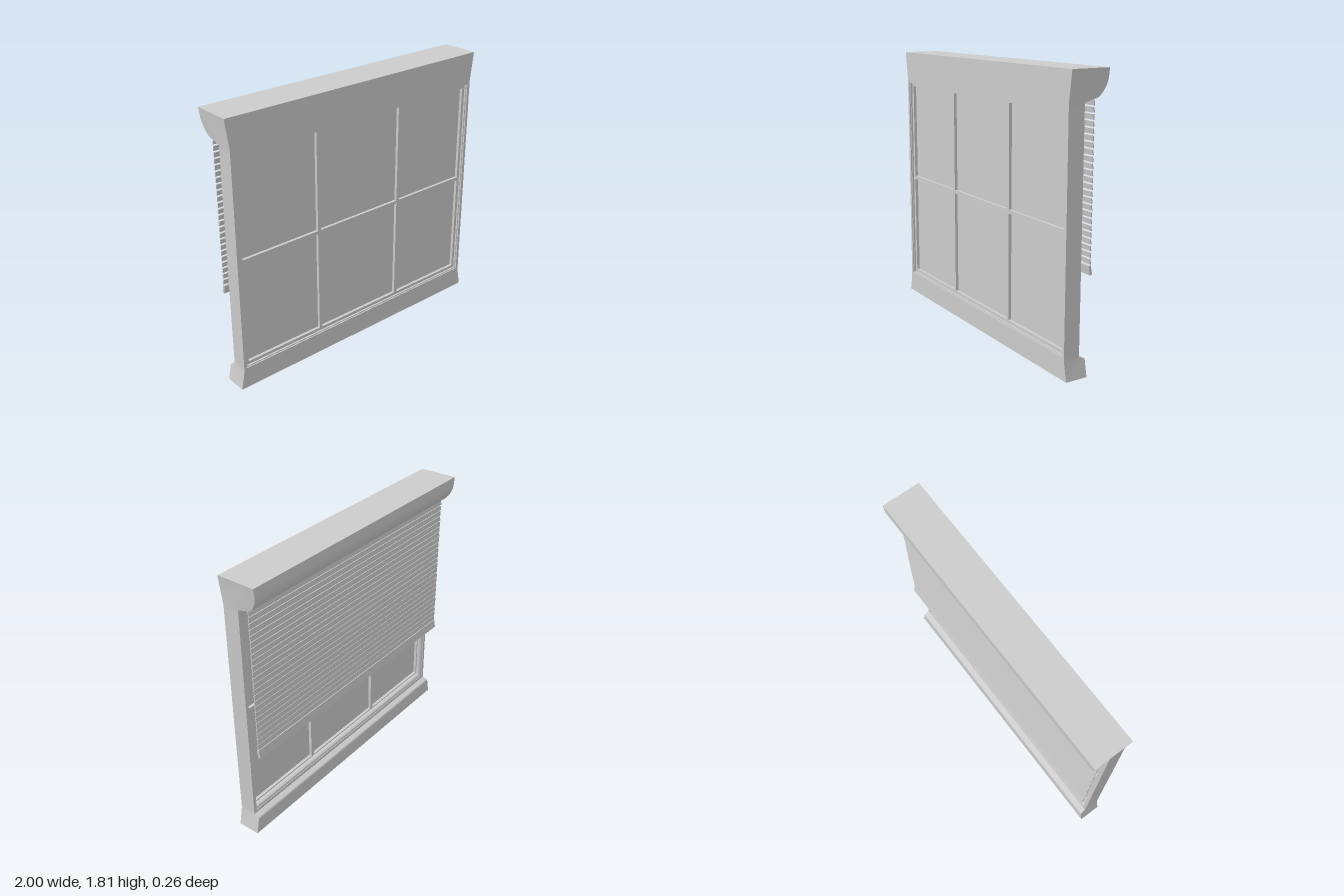
import * as THREE from 'three';
import { toCreasedNormals } from 'three/addons/utils/BufferGeometryUtils.js';

const grey = new THREE.MeshStandardMaterial({ color: 0xcccccc });

function add(parent, name, geometry, x = 0, y = 0, z = 0) {
  const mesh = new THREE.Mesh(geometry, grey);
  mesh.name = name;
  mesh.position.set(x, y, z);
  parent.add(mesh);
  return mesh;
}

// Half width of the casing: straight in the middle, flared at head and sill
function halfWidth(y) {
  if (y > 1.62) return 0.975 + 0.025 * (y - 1.62) / 0.19;
  if (y < 0.125) return 1 - 0.025 * y / 0.125;
  return 0.975;
}

// Run a (z, y) section along x and cut its ends to the flare
function flaredRail(points) {
  const shape = new THREE.Shape(points.map(([z, y]) => new THREE.Vector2(z, y)));
  let geo = new THREE.ExtrudeGeometry(shape, { depth: 2, bevelEnabled: false });
  geo.rotateY(-Math.PI / 2).translate(1, 0, 0);
  const p = geo.attributes.position;
  for (let i = 0; i < p.count; i++) p.setX(i, Math.sign(p.getX(i)) * halfWidth(p.getY(i)));
  geo.deleteAttribute('normal');
  geo.deleteAttribute('uv');
  return toCreasedNormals(geo, 0.6);
}

// Sweep an (inset, z) section round a rectangle with mitred corners
function mitredFrame(hw, hh, profile) {
  const corners = [[-1, -1], [1, -1], [1, 1], [-1, 1]];
  const at = (c, [d, z]) => [c[0] * (hw - d), c[1] * (hh - d), z];
  const pos = [];
  corners.forEach((c, i) => {
    const n = corners[(i + 1) % 4];
    for (let k = 0; k < profile.length - 1; k++) {
      const a = at(c, profile[k]), b = at(n, profile[k]);
      const e = at(n, profile[k + 1]), f = at(c, profile[k + 1]);
      pos.push(...a, ...b, ...e, ...a, ...e, ...f);
    }
  });
  const geo = new THREE.BufferGeometry();
  geo.setAttribute('position', new THREE.Float32BufferAttribute(pos, 3));
  return toCreasedNormals(geo, 0.7);
}

export function createModel() {
  const model = new THREE.Group();
  model.name = 'windowWithBlind';

  // Casing: curved head, stepped sill and two posts
  const headCurve = new THREE.CubicBezierCurve(
    new THREE.Vector2(-0.13, 1.75), new THREE.Vector2(-0.125, 1.71),
    new THREE.Vector2(-0.1, 1.665), new THREE.Vector2(-0.07, 1.645));
  add(model, 'head', flaredRail([
    [0.13, 1.81], [-0.13, 1.81],
    ...headCurve.getPoints(10).map(v => [v.x, v.y]),
    [0.02, 1.62], [0.02, 1.595], [0.13, 1.595], [0.13, 1.62]]));
  add(model, 'sill', flaredRail([
    [0.13, 0], [0.13, 0.125], [0.13, 0.145], [0.02, 0.145],
    [0.02, 0.125], [-0.015, 0.113], [-0.02, 0.106], [-0.02, 0]]));
  for (const side of [-1, 1])
    add(model, side > 0 ? 'leftPost' : 'rightPost',
      new THREE.BoxGeometry(0.021, 1.45, 0.11), side * 0.9645, 0.87, 0.075);

  // Sash with a stepped front and a rounded moulding at the back
  add(model, 'sash', mitredFrame(0.955, 0.726, [
    [0, 0.122], [0.008, 0.122], [0.008, 0.11], [0.029, 0.11], [0.029, 0.06],
    [0.02, 0.06], [0.02, 0.046], [0.017, 0.036], [0.011, 0.028], [0, 0.024]]), 0, 0.87, 0);

  // Glass and glazing bars
  add(model, 'glass', new THREE.BoxGeometry(1.86, 1.41, 0.01), 0, 0.87, 0.085);
  for (const side of [-1, 1])
    add(model, 'verticalBar', new THREE.BoxGeometry(0.024, 1.4, 0.05), side * 0.34, 0.87, 0.085);
  add(model, 'horizontalBar', new THREE.BoxGeometry(1.85, 0.024, 0.048), 0, 0.888, 0.085);

  // Blind: nearly closed slats and a tilted bottom rail
  const blind = new THREE.Group();
  blind.name = 'blind';
  model.add(blind);
  const slat = new THREE.BoxGeometry(1.94, 0.032, 0.007);
  const count = 24, pitch = 0.04;
  for (let i = 0; i < count; i++)
    add(blind, 'slat', slat, 0, 1.617 - i * pitch, -0.05).rotation.x = 0.15;
  add(blind, 'bottomRail', new THREE.BoxGeometry(1.94, 0.058, 0.017), 0, 0.645, -0.052)
    .rotation.x = 0.18;
  return model;
}
